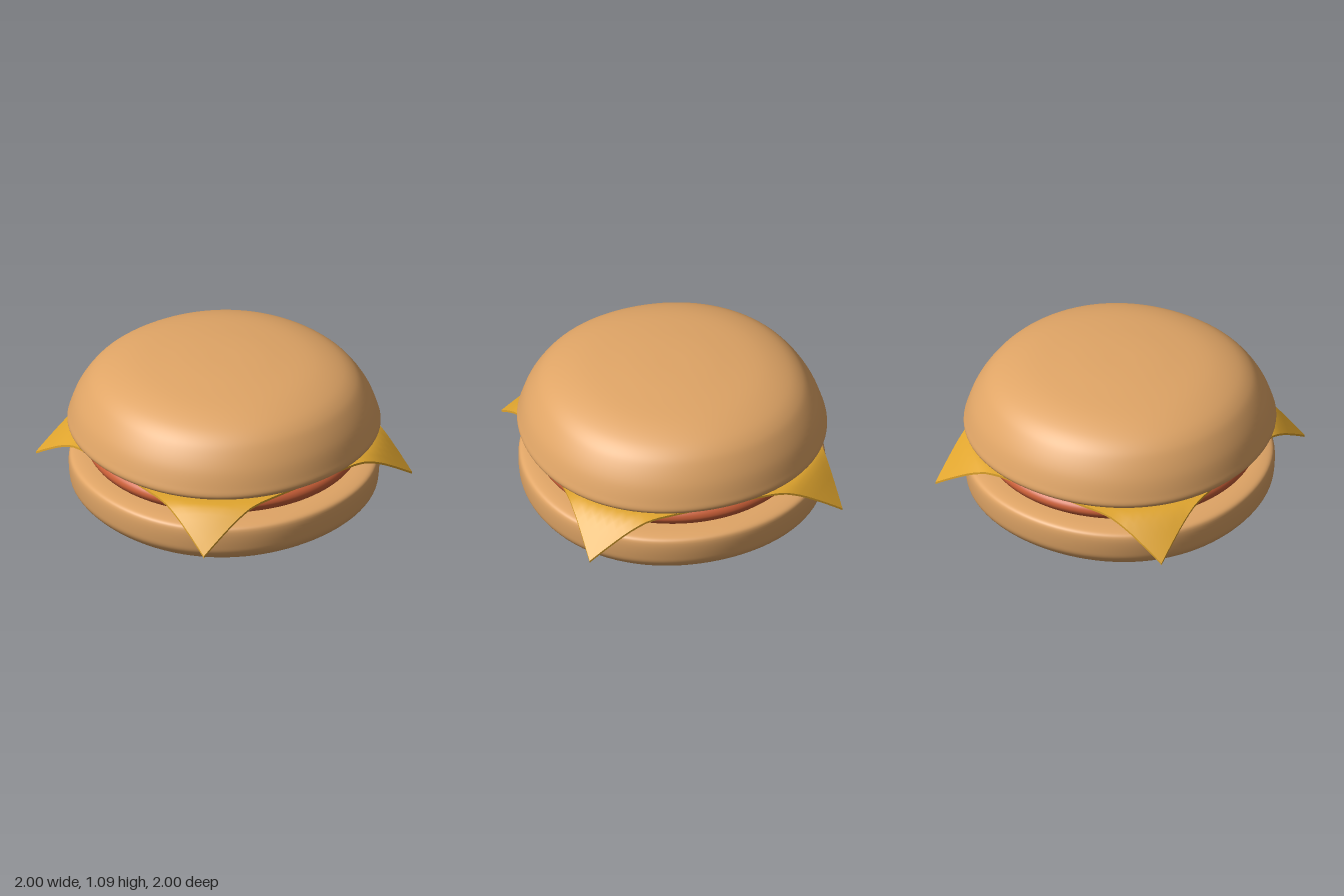
import * as THREE from 'three';

// Smooth solid of revolution through [radius, y] points, from bottom axis to top axis.
// "square" swells the diagonals slightly, giving a softly squared outline.
function turned(name, points, color, square = 0) {
  const curve = new THREE.CatmullRomCurve3(
    points.map(([r, y]) => new THREE.Vector3(r, y, 0)), false, 'centripetal');
  const profile = curve.getPoints(72).map(p => new THREE.Vector2(Math.max(p.x, 0), p.y));
  const geometry = new THREE.LatheGeometry(profile, 96);
  const pos = geometry.attributes.position;
  for (let i = 0; i < pos.count; i++) {
    const x = pos.getX(i), z = pos.getZ(i);
    const k = 1 + square * (1 - Math.cos(4 * Math.atan2(z, x)));
    pos.setX(i, x * k);
    pos.setZ(i, z * k);
  }
  const mesh = new THREE.Mesh(geometry, new THREE.MeshStandardMaterial({ color }));
  mesh.name = name;
  return mesh;
}

// Height of the cheese top at a distance from the middle
const DROOP = [[0, 0.565], [0.45, 0.563], [0.7, 0.555], [0.87, 0.532], [0.96, 0.527],
  [1.0, 0.512], [1.06, 0.462], [1.12, 0.402], [1.24, 0.284]];
function droop(r) {
  for (let i = 1; i < DROOP.length; i++) {
    const [r0, y0] = DROOP[i - 1], [r1, y1] = DROOP[i];
    if (r <= r1) return y0 + (y1 - y0) * (r - r0) / (r1 - r0);
  }
  return DROOP[DROOP.length - 1][1];
}

// Thin square slice whose corners hang down over the patty
function cheeseSlice() {
  const size = 1.74, thickness = 0.015;
  const geometry = new THREE.BoxGeometry(size, thickness, size, 36, 1, 36);
  const pos = geometry.attributes.position;
  for (let i = 0; i < pos.count; i++) {
    const r = Math.hypot(pos.getX(i), pos.getZ(i));
    pos.setY(i, pos.getY(i) - thickness / 2 + droop(r));
  }
  geometry.computeVertexNormals();
  const mesh = new THREE.Mesh(geometry, new THREE.MeshStandardMaterial({ color: 0xe0a52e }));
  mesh.name = 'cheeseSlice';
  return mesh;
}

export function createModel() {
  const group = new THREE.Group();
  group.name = 'burger';
  const bun = 0xe0a566;

  // Bottom bun: gently rounded base, straight side, flat top
  group.add(turned('bottomBun', [
    [0, 0], [0.33, 0.01], [0.6, 0.03], [0.81, 0.07], [0.92, 0.12], [0.975, 0.18],
    [0.988, 0.24], [0.988, 0.34], [0.975, 0.365], [0.93, 0.38], [0.8, 0.388], [0.4, 0.39], [0, 0.39],
  ], bun, 0.01));

  // Patty: flat disc with a bulging rim
  group.add(turned('patty', [
    [0, 0.385], [0.5, 0.385], [0.78, 0.39], [0.86, 0.41], [0.89, 0.44], [0.9, 0.468],
    [0.89, 0.496], [0.86, 0.518], [0.78, 0.53], [0.5, 0.54], [0, 0.54],
  ], 0xcc6038));

  group.add(cheeseSlice());

  // Top bun: broad dome with a tight lower rim
  group.add(turned('topBun', [
    [0, 0.567], [0.5, 0.568], [0.8, 0.571], [0.93, 0.578], [0.985, 0.592], [1, 0.618],
    [0.988, 0.67], [0.95, 0.775], [0.89, 0.875], [0.84, 0.932], [0.76, 0.985], [0.6, 1.04],
    [0.33, 1.077], [0.15, 1.088], [0, 1.09],
  ], bun, 0.01));

  return group;
}
